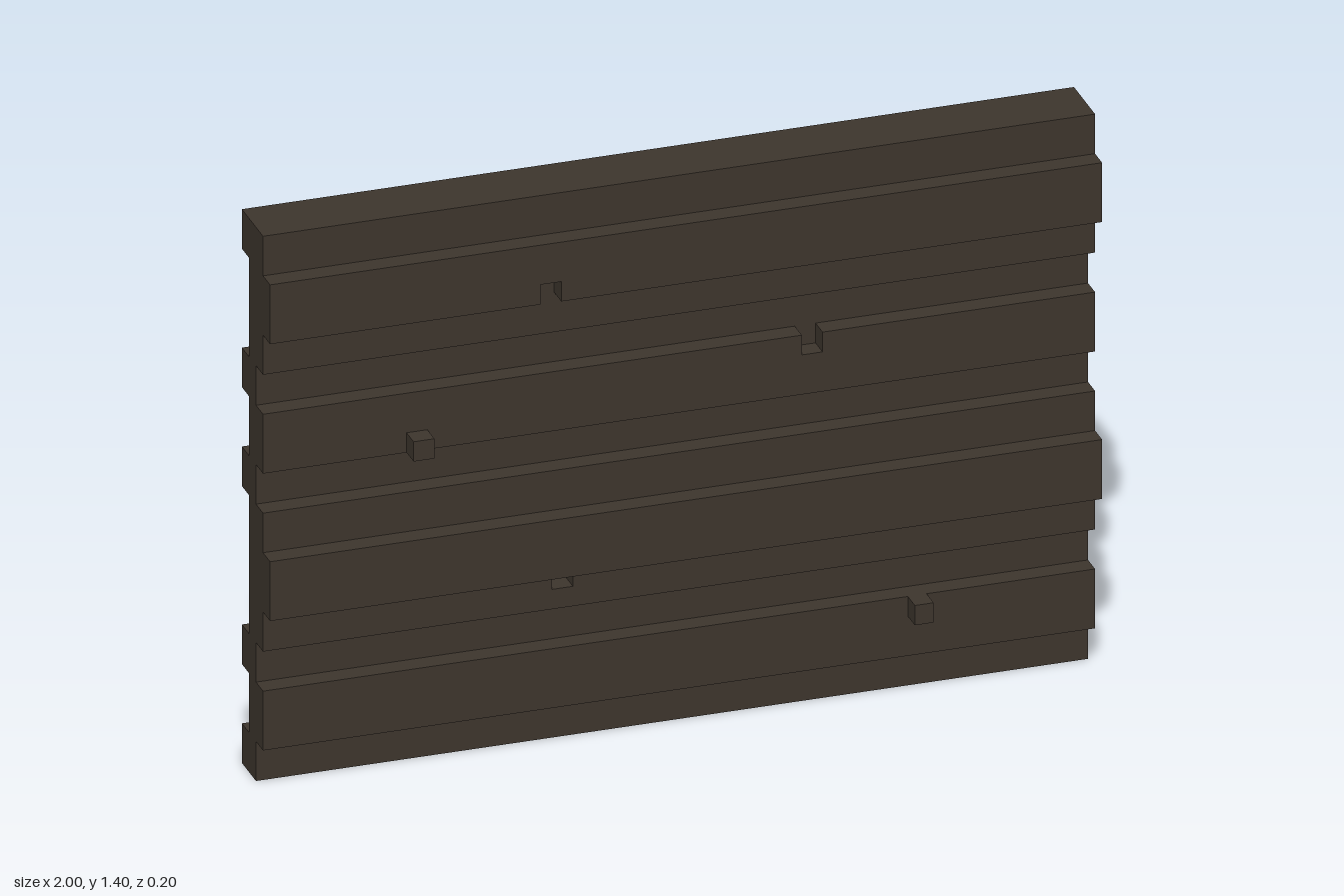
import * as THREE from 'three';

const HALF = 1;      // half the panel length
const STEP = 0.05;   // thickness of every layer

export function createModel() {
  const group = new THREE.Group();
  const darkTimber = new THREE.MeshStandardMaterial({ color: 0x3d352d });
  darkTimber.name = 'darkTimber';
  darkTimber.flatShading = true;

  const add = (name, geometry) => {
    const mesh = new THREE.Mesh(geometry, darkTimber);
    mesh.name = name;
    group.add(mesh);
  };

  // Box given by its limits on each axis
  const block = (name, x0, x1, y0, y1, z0, z1) => {
    const geometry = new THREE.BoxGeometry(x1 - x0, y1 - y0, z1 - z0);
    geometry.translate((x0 + x1) / 2, (y0 + y1) / 2, (z0 + z1) / 2);
    add(name, geometry);
  };

  // Full-length board one step thick, with an optional notch in an edge or in its face
  const board = (name, y0, y1, z, notch) => {
    const shape = new THREE.Shape();
    const rect = ([x0, x1, a, b]) => [[x0, a], [x0, b], [x1, b], [x1, a]].map(p => new THREE.Vector2(...p));
    const points = [[-HALF, y0]];
    if (notch && notch[2] === y0) {
      const [a, b, , t] = notch;
      points.push([a, y0], [a, t], [b, t], [b, y0]);
    }
    points.push([HALF, y0], [HALF, y1]);
    if (notch && notch[3] === y1) {
      const [a, b, t] = notch;
      points.push([b, y1], [b, t], [a, t], [a, y1]);
    }
    points.push([-HALF, y1]);
    shape.setFromPoints(points.map(p => new THREE.Vector2(...p)));
    if (notch && notch[2] > y0 && notch[3] < y1) shape.holes.push(new THREE.Path(rect(notch)));
    const geometry = new THREE.ExtrudeGeometry(shape, { depth: STEP, bevelEnabled: false });
    geometry.translate(0, 0, z);
    add(name, geometry);
  };

  // Core sheet
  block('corePanel', -HALF, HALF, 0, 1.4, -STEP, 0);

  // Battens across the back
  for (const y of [0, 0.25, 0.7, 0.95, 1.3]) {
    block('backBatten', -HALF, HALF, y, y + 0.1, -2 * STEP, -STEP);
  }

  // Front boards, notches as [x0, x1, y0, y1]
  board('lowerBoard', 0.1, 0.25, 0);
  board('lowerMiddleBoard', 0.35, 0.7, 0, [-0.305, -0.255, 0.4, 0.45]);
  board('upperMiddleBoard', 0.8, 0.95, 0, [0.295, 0.345, 0.9, 0.95]);
  board('upperBoard', 1.05, 1.4, 0);

  // Raised rails on the front boards
  board('lowerRail', 0.45, 0.6, STEP);
  board('upperRail', 1.15, 1.3, STEP, [-0.35, -0.3, 1.15, 1.2]);

  // Small pegs
  block('leftPeg', 0.55, 0.595, 0.2, 0.25, STEP, 2 * STEP);
  block('rightPeg', -0.655, -0.605, 0.8, 0.85, STEP, 2 * STEP);

  return group;
}
